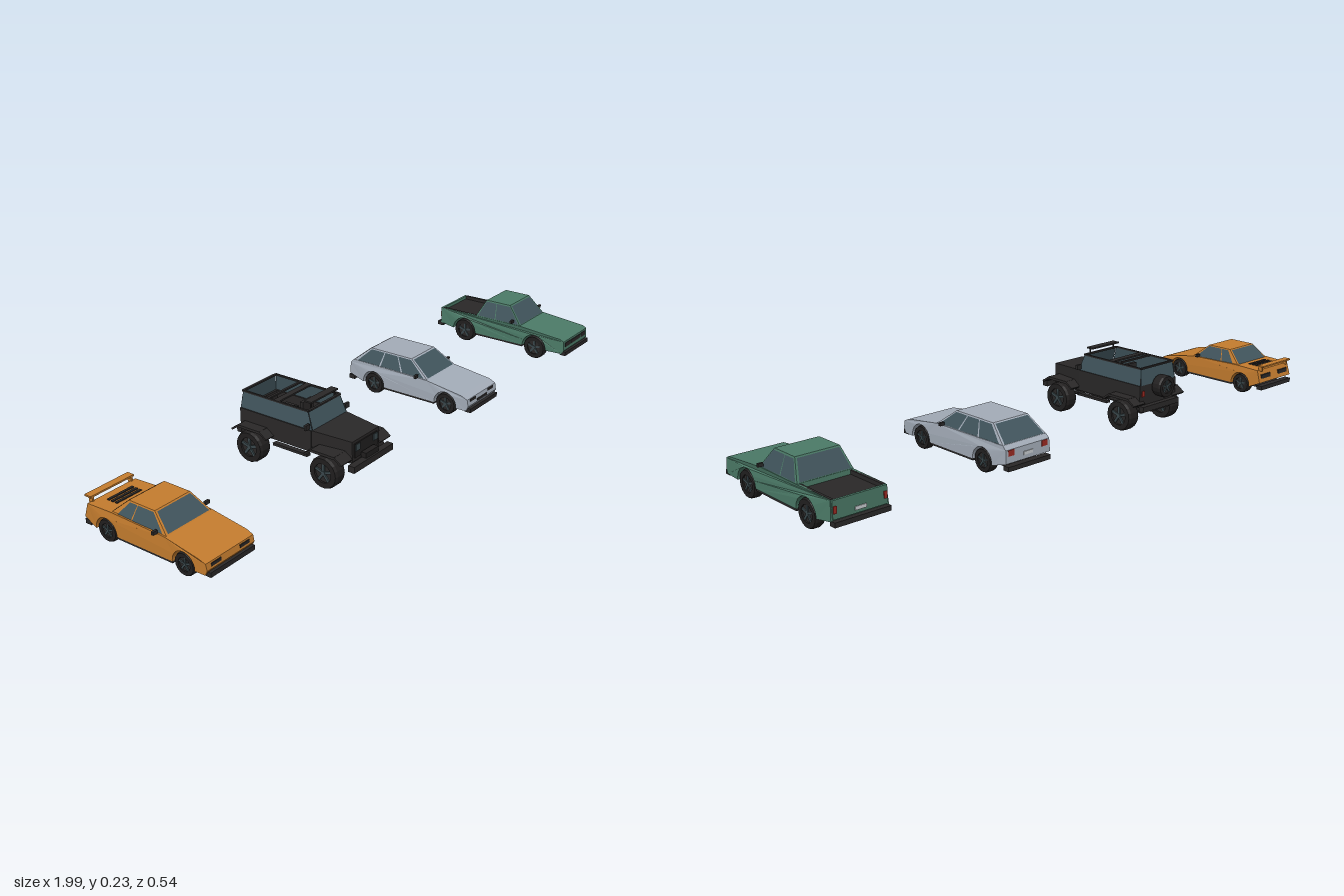
import * as THREE from 'three';

const mat = (name, color, flatShading = true) => {
  const m = new THREE.MeshStandardMaterial({ color, side: THREE.DoubleSide, flatShading });
  m.name = name;
  return m;
};

export function createModel() {
  const orange = mat('orange paint', 0xc47c2e), silver = mat('silver paint', 0xa3acb8);
  const green = mat('green paint', 0x4b7a67), glass = mat('tinted glass', 0x41555d);
  const black = mat('black trim', 0x2a2828), rubber = mat('rubber', 0x211f1f);
  const rim = mat('rim grey', 0x3a484c), red = mat('red lamp', 0x9c2a22), lamp = mat('pale lamp', 0xc9ced2);

  const add = (g, name, geo, m, x = 0, y = 0, z = 0) => {
    const mesh = new THREE.Mesh(geo, m);
    mesh.name = name;
    mesh.position.set(x, y, z);
    g.add(mesh);
    return mesh;
  };
  const box = (g, name, m, w, h, d, x, y, z) => add(g, name, new THREE.BoxGeometry(w, h, d), m, x, y, z);
  const pair = (g, name, m, w, h, d, x, y, z) => [-1, 1].forEach(s => box(g, name, m, w, h, d, s * x, y, z));

  // Part of a four-cornered face (corners counter-clockwise), lifted outwards
  const pane = (g, name, m, [a, b, c, d], u0 = 0, u1 = 1, v0 = 0, v1 = 1, lift = 0) => {
    const n = b.clone().sub(a).cross(d.clone().sub(a)).normalize().multiplyScalar(lift);
    const at = (u, v) => a.clone().lerp(b, u).lerp(d.clone().lerp(c, u), v).add(n);
    const p = [at(u0, v0), at(u1, v0), at(u1, v1), at(u0, v1)];
    const geo = new THREE.BufferGeometry().setFromPoints([p[0], p[1], p[2], p[0], p[2], p[3]]);
    geo.computeVertexNormals();
    return add(g, name, geo, m);
  };

  // Side profile in (z, y) with wheel arches, extruded across the car and tapered to its ends
  const slab = (g, name, m, s, top, width, x = 0) => {
    const sh = new THREE.Shape();
    const R = s.r + 0.005, k = Math.asin((s.sill - s.r) / R);
    sh.moveTo(top[top.length - 1][0] + 0.008, s.sill);
    for (const z of [s.rear, s.front]) sh.absarc(z, s.r, R, Math.PI - k, k, true);
    sh.lineTo(top[0][0] - 0.008, s.sill);
    top.forEach(p => sh.lineTo(...p));
    const geo = new THREE.ExtrudeGeometry(sh, { depth: width, bevelEnabled: false, curveSegments: 10 });
    geo.rotateY(-Math.PI / 2).translate(width / 2 + x, 0, 0);
    const P = geo.attributes.position;
    for (let i = 0; i < P.count; i++) {
      const end = Math.max(0, Math.abs(P.getZ(i)) - 0.17) / 0.09;
      const up = Math.max(0, P.getY(i) - 0.075) / 0.035;
      P.setX(i, P.getX(i) * (1 - 0.06 * end * end - 0.05 * Math.min(up, 1)));
    }
    geo.computeVertexNormals();
    return add(g, name, geo, m);
  };

  // Cabin with painted pillars and roof, windows laid on every side
  const cabin = (g, paint, c) => {
    const V = (x, y, z) => new THREE.Vector3(x, y, z);
    const [w, y, zf, zr] = c.base, [t, h, tf, tr] = c.roof;
    const fl = V(w, y, zf), fr = V(-w, y, zf), rl = V(w, y, zr), rr = V(-w, y, zr);
    const Fl = V(t, h, tf), Fr = V(-t, h, tf), Rl = V(t, h, tr), Rr = V(-t, h, tr);
    const faces = {
      windscreen: [fr, fl, Fl, Fr], rearWindow: [rl, rr, Rr, Rl],
      leftWindow: [fl, rl, Rl, Fl], rightWindow: [rr, fr, Fr, Rr]
    };
    pane(g, 'roof', paint, [Fr, Fl, Rl, Rr]);
    for (const [name, f] of Object.entries(faces)) {
      pane(g, 'pillars', paint, f);
      if (!name.startsWith('l') && !name.startsWith('ri')) {
        pane(g, name, glass, f, 0.04, 0.96, 0.04, 0.93, 0.0012);
        continue;
      }
      const cuts = name === 'leftWindow' ? c.cuts : c.cuts.map(v => 1 - v).reverse();
      for (let i = 0; i + 1 < cuts.length; i++)
        pane(g, name, glass, f, cuts[i] + 0.01, cuts[i + 1] - 0.01, 0.04, 0.92, 0.0012);
    }
  };

  // Wheel: turned tyre, dish and five spokes
  const wheel = (g, r, w, x, y, z) => {
    const o = new THREE.Group();
    o.name = 'wheel';
    const h = w / 2, pts = [[0.6, -h], [0.93, -h], [1, -h * 0.6], [1, h * 0.6], [0.93, h], [0.6, h], [0.6, -h]];
    add(o, 'tyre', new THREE.LatheGeometry(pts.map(p => new THREE.Vector2(p[0] * r, p[1])), 18), rubber);
    add(o, 'dish', new THREE.CylinderGeometry(r * 0.62, r * 0.62, w * 0.7, 18), black);
    add(o, 'hub', new THREE.CylinderGeometry(r * 0.15, r * 0.15, w * 0.96, 8), rim);
    for (let i = 0; i < 5; i++) {
      const a = i * Math.PI * 0.4;
      const s = box(o, 'spoke', rim, r * 0.55, w * 0.9, r * 0.17, Math.cos(a) * r * 0.32, 0, -Math.sin(a) * r * 0.32);
      s.rotation.y = a;
    }
    o.rotation.z = Math.PI / 2;
    o.position.set(x, y, z);
    g.add(o);
  };
  const wheels = (g, r, w, x, zs) => zs.forEach(z => [-1, 1].forEach(s => wheel(g, r, w, s * x, r, z)));

  const root = new THREE.Group();
  root.name = 'fourCars';
  const car = (name, x) => {
    const g = new THREE.Group();
    g.name = name;
    g.position.x = x;
    root.add(g);
    return g;
  };
  // Shared running gear, bumpers and mirrors of the three road cars
  const trim = (g, s, front, back, half) => {
    wheels(g, s.r, 0.03, half - 0.017, [s.front, s.rear]);
    box(g, 'underside', black, half * 1.3, 0.006, front - back - 0.02, 0, s.sill - 0.002, (front + back) / 2);
    box(g, 'sills', black, half * 1.96, 0.01, s.front - s.rear - 2 * s.r - 0.012, 0, s.sill - 0.002, (s.front + s.rear) / 2);
    for (const [z, n] of [[front, 'frontBumper'], [back, 'rearBumper']])
      box(g, n, black, half * 1.84, 0.014, 0.022, 0, s.sill + 0.002, z - Math.sign(z) * 0.009);
    pair(g, 'mirror', black, 0.016, 0.01, 0.008, half + 0.006, s.mirror[0], s.mirror[1]);
  };

  // Orange sports car
  const sport = car('sportsCar', -0.9);
  const s1 = { r: 0.034, sill: 0.03, front: 0.135, rear: -0.145, mirror: [0.1, 0.045] };
  slab(sport, 'body', orange, s1, [[0.216, 0.045], [0.212, 0.064], [0.19, 0.072], [0.07, 0.092], [-0.12, 0.097], [-0.215, 0.093], [-0.228, 0.05]], 0.18);
  cabin(sport, orange, { base: [0.083, 0.092, 0.074, -0.13], roof: [0.064, 0.139, 0.018, -0.076], cuts: [0.05, 0.62, 0.9] });
  trim(sport, s1, 0.22, -0.232, 0.09);
  box(sport, 'spoiler', orange, 0.156, 0.005, 0.024, 0, 0.108, -0.222);
  pair(sport, 'spoilerPost', orange, 0.006, 0.018, 0.014, 0.07, 0.098, -0.217);
  for (let i = 0; i < 3; i++) box(sport, 'engineVent', black, 0.09, 0.003, 0.008, 0, 0.097, -0.15 - i * 0.015);
  pair(sport, 'headlamp', black, 0.036, 0.009, 0.004, 0.053, 0.055, 0.2135);
  pair(sport, 'tailLamp', black, 0.05, 0.014, 0.006, 0.048, 0.07, -0.222);

  // Silver hatchback
  const hatch = car('hatchback', 0.29);
  const s2 = { r: 0.037, sill: 0.033, front: 0.145, rear: -0.14, mirror: [0.108, 0.035] };
  slab(hatch, 'body', silver, s2, [[0.232, 0.05], [0.228, 0.072], [0.205, 0.082], [0.07, 0.1], [-0.225, 0.102], [-0.238, 0.09], [-0.24, 0.05]], 0.178);
  cabin(hatch, silver, { base: [0.083, 0.1, 0.072, -0.226], roof: [0.066, 0.152, -0.002, -0.165], cuts: [0.03, 0.34, 0.64, 0.96] });
  trim(hatch, s2, 0.237, -0.245, 0.089);
  pair(hatch, 'headlamp', black, 0.034, 0.01, 0.005, 0.054, 0.065, 0.2275);
  box(hatch, 'grille', black, 0.06, 0.008, 0.005, 0, 0.055, 0.23);
  pair(hatch, 'tailLamp', red, 0.022, 0.018, 0.006, 0.064, 0.08, -0.237);
  box(hatch, 'numberPlate', lamp, 0.035, 0.01, 0.004, 0, 0.068, -0.2395);

  // Green pickup with an open bed
  const pick = car('pickup', 0.88);
  const s3 = { r: 0.042, sill: 0.042, front: 0.145, rear: -0.148, mirror: [0.123, 0.055] };
  const nose = [[0.262, 0.055], [0.26, 0.088], [0.245, 0.095], [0.08, 0.109]];
  slab(pick, 'body', green, s3, [...nose, [-0.104, 0.109], [-0.105, 0.092], [-0.25, 0.092], [-0.252, 0.05]], 0.174);
  for (const s of [-1, 1])
    slab(pick, 'sidePanel', green, s3, [...nose, [-0.25, 0.106], [-0.254, 0.05]], 0.007, s * 0.0905);
  box(pick, 'tailgate', green, 0.168, 0.052, 0.008, 0, 0.08, -0.252);
  box(pick, 'bedFloor', black, 0.162, 0.003, 0.143, 0, 0.0935, -0.177);
  pair(pick, 'bedLiner', black, 0.008, 0.016, 0.143, 0.079, 0.099, -0.177);
  cabin(pick, green, { base: [0.087, 0.108, 0.082, -0.103], roof: [0.069, 0.17, 0.028, -0.07], cuts: [0.02, 0.56, 0.97] });
  trim(pick, s3, 0.267, -0.266, 0.094);
  pair(pick, 'headlamp', black, 0.034, 0.016, 0.005, 0.058, 0.074, 0.26);
  box(pick, 'grille', black, 0.07, 0.014, 0.005, 0, 0.074, 0.2605);
  pair(pick, 'tailLamp', red, 0.01, 0.02, 0.004, 0.077, 0.08, -0.2565);
  box(pick, 'numberPlate', lamp, 0.035, 0.01, 0.003, 0, 0.068, -0.257);

  // Black off-roader with an open top
  const jeep = car('offRoader', -0.305);
  wheels(jeep, 0.05, 0.044, 0.098, [0.135, -0.145]);
  box(jeep, 'chassis', black, 0.09, 0.016, 0.42, 0, 0.072, -0.005);
  for (const z of [0.135, -0.145]) {
    const axle = add(jeep, 'axle', new THREE.CylinderGeometry(0.007, 0.007, 0.19, 8), black, 0, 0.05, z);
    axle.rotation.z = Math.PI / 2;
    add(jeep, 'differential', new THREE.SphereGeometry(0.015, 8, 6), black, 0.012, 0.05, z);
  }
  // Bonnet narrowing towards the grille
  const hood = new THREE.BoxGeometry(0.165, 0.07, 0.135);
  const H = hood.attributes.position;
  for (let i = 0; i < H.count; i++) if (H.getZ(i) > 0) {
    H.setX(i, H.getX(i) * 0.78);
    if (H.getY(i) > 0) H.setY(i, 0.029);
  }
  add(jeep, 'bonnet', hood, black, 0, 0.117, 0.1325);
  box(jeep, 'grille', rubber, 0.11, 0.045, 0.004, 0, 0.115, 0.201);
  pair(jeep, 'headlamp', rim, 0.02, 0.02, 0.005, 0.042, 0.124, 0.203);
  // Tub
  box(jeep, 'tubFloor', black, 0.165, 0.012, 0.27, 0, 0.088, -0.068);
  pair(jeep, 'tubSide', black, 0.008, 0.064, 0.27, 0.081, 0.12, -0.068);
  box(jeep, 'tubRear', black, 0.17, 0.064, 0.008, 0, 0.12, -0.2);
  box(jeep, 'dashboard', black, 0.16, 0.02, 0.03, 0, 0.145, 0.05);
  pair(jeep, 'seat', black, 0.05, 0.035, 0.045, 0.038, 0.11, -0.02);
  pair(jeep, 'seatBack', black, 0.05, 0.07, 0.012, 0.038, 0.14, -0.047);
  box(jeep, 'rearBench', black, 0.12, 0.04, 0.05, 0, 0.114, -0.12);
  box(jeep, 'loadFloor', glass, 0.15, 0.004, 0.04, 0, 0.098, -0.172);
  // Glasshouse
  const V = (x, y, z) => new THREE.Vector3(x, y, z);
  pane(jeep, 'windscreen', glass, [V(-0.08, 0.152, 0.07), V(0.08, 0.152, 0.07), V(0.074, 0.206, 0.05), V(-0.074, 0.206, 0.05)]);
  pane(jeep, 'rearWindow', glass, [V(0.08, 0.152, -0.204), V(-0.08, 0.152, -0.204), V(-0.074, 0.206, -0.197), V(0.074, 0.206, -0.197)]);
  for (const s of [-1, 1])
    pane(jeep, 'sideWindow', glass, [V(s * 0.082, 0.152, 0.07), V(s * 0.082, 0.152, -0.204), V(s * 0.075, 0.206, -0.197), V(s * 0.075, 0.206, 0.05)]);
  pair(jeep, 'roofRail', black, 0.006, 0.005, 0.25, 0.075, 0.206, -0.074);
  for (const z of [0.05, -0.068, -0.1, -0.197]) box(jeep, 'roofBar', black, 0.15, 0.005, z === -0.068 ? 0.02 : 0.008, 0, 0.206, z);
  box(jeep, 'lightBar', black, 0.125, 0.005, 0.025, 0, 0.227, 0.04);
  pair(jeep, 'lightBarPost', black, 0.004, 0.024, 0.004, 0.055, 0.216, 0.045);
  // Flared wings over each wheel
  for (const z of [0.135, -0.143]) {
    pair(jeep, 'wing', black, 0.052, 0.008, 0.085, 0.094, 0.11, z);
    for (const e of [-1, 1]) for (const s of [-1, 1])
      box(jeep, 'wingFlap', black, 0.052, 0.006, 0.032, s * 0.094, 0.102, z + e * 0.054).rotation.x = e * 0.6;
  }
  // Bumpers, steps, mirrors and spare wheel
  box(jeep, 'frontBumper', black, 0.19, 0.02, 0.022, 0, 0.078, 0.219);
  box(jeep, 'winch', rubber, 0.06, 0.016, 0.018, 0, 0.096, 0.215);
  box(jeep, 'rearBumper', black, 0.17, 0.018, 0.018, 0, 0.078, -0.211);
  pair(jeep, 'sideStep', black, 0.016, 0.008, 0.13, 0.088, 0.074, -0.005);
  pair(jeep, 'mirror', black, 0.018, 0.016, 0.008, 0.094, 0.165, 0.06);
  pair(jeep, 'tailLamp', red, 0.012, 0.018, 0.004, 0.07, 0.125, -0.2055);
  const spare = new THREE.Group();
  spare.name = 'spareWheel';
  wheel(spare, 0.036, 0.036, 0, 0, 0);
  spare.rotation.y = Math.PI / 2;
  spare.position.set(0, 0.143, -0.226);
  jeep.add(spare);

  return root;
}
